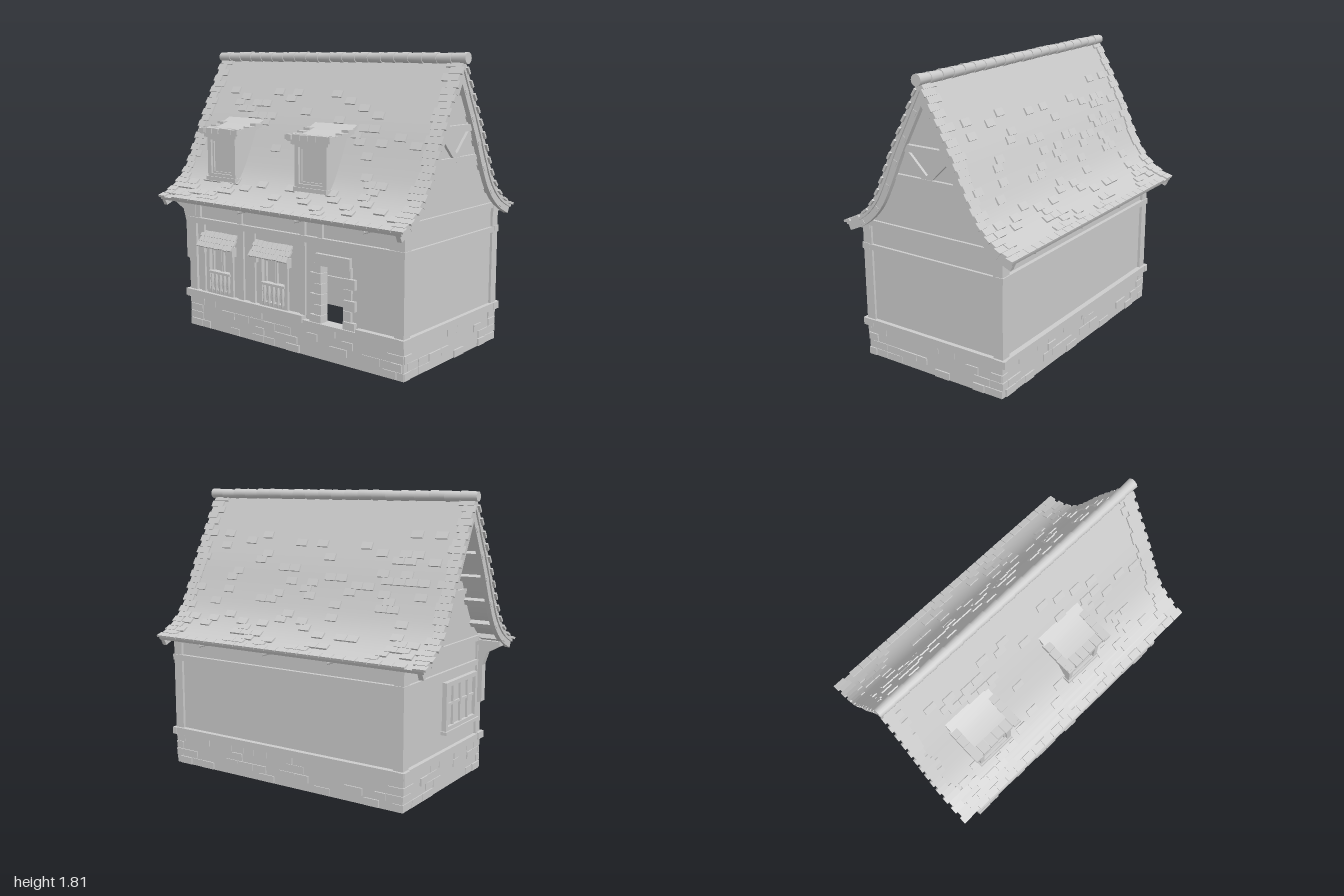
import * as THREE from 'three';
import { mergeGeometries, toCreasedNormals } from 'three/addons/utils/BufferGeometryUtils.js';

const grey = new THREE.MeshStandardMaterial({ color: 0xcccccc });
grey.name = 'plain grey';

let seed = 7;
const rnd = () => (seed = (seed * 16807) % 2147483647) / 2147483647;
const V2 = (x, y) => new THREE.Vector2(x, y);

// Roof slope from ridge to eave, as (z, y)
const slope = new THREE.SplineCurve([
  V2(0, 1.76), V2(0.1, 1.57), V2(0.21, 1.36), V2(0.29, 1.185), V2(0.36, 1.05),
  V2(0.43, 0.965), V2(0.51, 0.905), V2(0.605, 0.862)]);

// Slope moved inwards by d, kept on the +z side
function inset(d, n = 28) {
  const pts = [V2(0, 1.76 - d * 2.15)];
  for (let i = 1; i <= n; i++) {
    const p = slope.getPointAt(i / n), t = slope.getTangentAt(i / n);
    p.x += t.y * d; p.y -= t.x * d;
    if (p.x > 0.005) pts.push(p);
  }
  return pts;
}
const flip = pts => pts.map(p => V2(-p.x, p.y)).reverse();
const bothSlopes = d => [...flip(inset(d)), ...inset(d).slice(1)];

// Extrude a (z, y) outline along x
function alongX(pts, x0, x1) {
  const g = new THREE.ExtrudeGeometry(new THREE.Shape(pts), { depth: x1 - x0, bevelEnabled: false });
  g.rotateY(-Math.PI / 2).translate(x1, 0, 0);
  return toCreasedNormals(g, 0.5);
}
function boxGeo(x0, x1, y0, y1, z0, z1) {
  return new THREE.BoxGeometry(x1 - x0, y1 - y0, z1 - z0)
    .translate((x0 + x1) / 2, (y0 + y1) / 2, (z0 + z1) / 2);
}
function add(parent, name, geo) {
  const m = new THREE.Mesh(geo, grey);
  m.name = name;
  parent.add(m);
  return m;
}
const box = (parent, name, ...b) => add(parent, name, boxGeo(...b));
function group(parent, name) {
  const g = new THREE.Group();
  g.name = name;
  parent.add(g);
  return g;
}

// Stone base: four walls with some blocks standing proud
function stoneBase(root) {
  const g = group(root, 'stoneBase');
  const X0 = -0.8, X1 = 0.92, Z = 0.5;
  for (const s of [-1, 1]) box(g, 'baseWall', X0, X1, 0, 0.21, s > 0 ? Z - 0.06 : -Z, s > 0 ? Z : -Z + 0.06);
  box(g, 'baseEnd', X0, X0 + 0.06, 0, 0.21, -Z + 0.06, Z - 0.06);
  box(g, 'baseEnd', X1 - 0.06, X1, 0, 0.21, -Z + 0.06, Z - 0.06);
  const stones = [];
  for (let r = 0; r < 4; r++) {
    const y0 = r * 0.05 + 0.003, y1 = y0 + 0.045;
    const run = (a, b, put) => {
      for (let p = a; p < b - 0.03;) {
        const w = Math.min(0.07 + rnd() * 0.06, b - p);
        if (rnd() < 0.4 || p === a || p + w >= b - 0.03) put(p, p + w, 0.004 + rnd() * 0.007);
        p += w + 0.004;
      }
    };
    for (const s of [-1, 1]) run(X0 - 0.006, X1 + 0.006, (a, b, d) => stones.push(boxGeo(a, b, y0, y1, s > 0 ? Z - 0.02 : -Z - d, s > 0 ? Z + d : -Z + 0.02)));
    run(-Z, Z, (a, b, d) => stones.push(boxGeo(X1 - 0.02, X1 + d, y0, y1, a, b)));
    run(-Z, Z, (a, b, d) => stones.push(boxGeo(X0 - d, X0 + 0.02, y0, y1, a, b)));
  }
  add(g, 'baseStones', mergeGeometries(stones));
}

function walls(root) {
  const g = group(root, 'walls');
  // Front wall with window and door openings
  const s = new THREE.Shape([V2(-0.79, 0.2), V2(0.91, 0.2), V2(0.91, 0.88), V2(-0.79, 0.88)]);
  for (const [a, b, c, d] of [[-0.63, -0.42, 0.26, 0.56], [-0.165, 0.055, 0.26, 0.56], [0.33, 0.505, 0.215, 0.575]])
    s.holes.push(new THREE.Path([V2(a, c), V2(a, d), V2(b, d), V2(b, c)]));
  add(g, 'frontWall', new THREE.ExtrudeGeometry(s, { depth: 0.03, bevelEnabled: false }).translate(0, 0, 0.46));
  box(g, 'backWall', -0.79, 0.91, 0.2, 0.88, -0.49, -0.46);
  // Gable ends follow the roof
  const side = inset(0.025).filter(p => p.x < 0.47);
  const gable = [V2(-0.49, 0.2), V2(-0.49, 0.88), ...flip(side), ...side.slice(1), V2(0.49, 0.88), V2(0.49, 0.2)];
  add(g, 'rightGable', alongX(gable, 0.88, 0.91));
  add(g, 'leftGable', alongX(gable, -0.79, -0.76));
}

function timber(root) {
  const g = group(root, 'timberFrame');
  for (const sz of [-1, 1]) {
    const zs = (a, b) => sz > 0 ? [a, b] : [-b, -a];
    for (const [a, b] of [[-0.805, -0.74], [0.86, 0.925]]) box(g, 'cornerPost', a, b, 0.24, 0.86, ...zs(0.445, 0.508));
    box(g, 'middleBeam', -0.81, 0.93, 0.7, 0.738, ...zs(0.46, 0.515));
    box(g, 'topBeam', -0.81, 0.93, 0.83, 0.87, ...zs(0.45, 0.525));
    for (const x of [-0.31, 0.16, 0.67]) {
      const j = add(g, 'joistEnd', new THREE.CylinderGeometry(0.026, 0.026, 0.14, 8).rotateX(Math.PI / 2));
      j.position.set(x, 0.83, sz * 0.5);
      j.scale.y = 0.7;
    }
  }
  box(g, 'backSill', -0.825, 0.94, 0.2, 0.245, -0.525, -0.46);
  box(g, 'frontSill', -0.825, 0.2, 0.205, 0.25, 0.45, 0.53);
  box(g, 'frontSill', 0.6, 0.94, 0.2, 0.245, 0.45, 0.525);
  for (const [a, b] of [[-0.7, -0.665], [-0.36, -0.31], [-0.25, -0.21], [0.165, 0.205]]) box(g, 'frontPost', a, b, 0.25, 0.7, 0.47, 0.505);
  for (const x of [-0.74, -0.36, 0.165, 0.3, 0.82]) box(g, 'shortPost', x, x + 0.04, 0.738, 0.83, 0.47, 0.505);

  // End frames, the same at both gables
  for (const [x, out] of [[0.905, 1], [-0.785, -1]]) {
    const e = group(g, 'gableFrame');
    const rail = (name, y0, y1, z, d = 0.018) => box(e, name, Math.min(x, x + out * d), Math.max(x, x + out * d), y0, y1, -z, z);
    rail('endSill', 0.2, 0.245, 0.53, 0.032);
    rail('endBeam', 0.7, 0.735, 0.51, 0.022);
    rail('endTopBeam', 0.855, 0.89, 0.46, 0.022);
    rail('tieBeam', 1.18, 1.21, 0.25, 0.026);
    rail('collarBeam', 1.355, 1.395, 0.17, 0.035);
    for (const s of [-1, 1]) {
      const b = add(e, 'gableBrace', new THREE.BoxGeometry(0.03, 0.24, 0.04));
      b.position.set(x + out * 0.008, 1.275, s * 0.075);
      b.rotation.x = s * 0.8;
    }
  }
  // Curved knee brace under the deep overhang
  const knee = [V2(-0.8, 0.45), V2(-0.835, 0.46), V2(-0.835, 0.7), V2(-0.86, 0.78), V2(-0.95, 0.83), V2(-0.95, 0.86), V2(-0.8, 0.86)];
  add(g, 'kneeBrace', new THREE.ExtrudeGeometry(new THREE.Shape(knee), { depth: 0.05, bevelEnabled: false }).translate(0, 0, 0.455));
}

// Four bars around an opening in the xy plane
function frame(g, x0, x1, y0, y1, w, z0, z1) {
  box(g, 'frameSide', x0, x0 + w, y0, y1, z0, z1);
  box(g, 'frameSide', x1 - w, x1, y0, y1, z0, z1);
  box(g, 'frameTop', x0 + w, x1 - w, y1 - w, y1, z0, z1);
  box(g, 'frameBottom', x0 + w, x1 - w, y0, y0 + w, z0, z1);
}

function frontWindow(root, cx) {
  const g = group(root, 'frontWindow');
  box(g, 'pane', -0.115, 0.115, 0.25, 0.57, 0.462, 0.47);
  frame(g, -0.12, 0.12, 0.25, 0.575, 0.025, 0.46, 0.505);
  for (const s of [-1, 1]) frame(g, s > 0 ? 0.002 : -0.09, s > 0 ? 0.09 : -0.002, 0.385, 0.545, 0.014, 0.468, 0.485);
  box(g, 'balconyRail', -0.1, 0.1, 0.385, 0.4, 0.485, 0.515);
  const baluster = [V2(0.006, 0.25), V2(0.012, 0.28), V2(0.007, 0.31), V2(0.013, 0.345), V2(0.006, 0.385)];
  for (let i = -2; i <= 2; i++) add(g, 'baluster', new THREE.LatheGeometry(baluster, 8)).position.set(i * 0.038, 0, 0.5);
  // Small tiled awning
  for (let r = 0; r < 3; r++) for (let i = 0; i < 8; i++) {
    const t = add(g, 'awningTile', new THREE.BoxGeometry(0.037, 0.012, 0.042));
    t.position.set((i - 3.5) * 0.04 + (r % 2 ? 0.004 : -0.004), 0.64 - r * 0.029 - rnd() * 0.004, 0.502 + r * 0.02);
    t.rotation.x = 0.9;
  }
  for (const s of [-1, 1]) box(g, 'awningBracket', s * 0.13 - 0.01, s * 0.13 + 0.01, 0.52, 0.58, 0.48, 0.53);
  g.position.x = cx;
}

function sideWindow(root) {
  const g = group(root, 'sideWindow');
  box(g, 'pane', -0.2, 0.2, 0.37, 0.65, 0, 0.008);
  frame(g, -0.215, 0.215, 0.36, 0.665, 0.028, 0, 0.03);
  for (const x of [-0.1, 0, 0.1]) box(g, 'mullion', x - 0.01, x + 0.01, 0.38, 0.65, 0, 0.022);
  box(g, 'transom', -0.2, 0.2, 0.515, 0.53, 0, 0.02);
  box(g, 'windowSill', -0.23, 0.23, 0.345, 0.365, 0, 0.04);
  g.rotation.y = -Math.PI / 2;
  g.position.set(-0.79, 0, 0.205);
}

function doorway(root) {
  const g = group(root, 'doorway');
  // Alternating long and short jamb stones
  for (let i = 0; i < 6; i++) {
    const y = 0.21 + i * 0.064, w = i % 2 ? 0.05 : 0.08;
    box(g, 'jambStone', 0.33 - w, 0.335, y, y + 0.06, 0.45, 0.508 + rnd() * 0.008);
    box(g, 'jambStone', 0.5, 0.505 + w, y, y + 0.06, 0.45, 0.508 + rnd() * 0.008);
  }
  box(g, 'lintel', 0.29, 0.55, 0.575, 0.645, 0.45, 0.515);
  box(g, 'doorstep', 0.2, 0.6, 0.2, 0.225, 0.44, 0.525);
}

function dormer(root, cx) {
  const g = group(root, 'dormer');
  box(g, 'dormerBody', -0.115, 0.115, 1.0, 1.31, 0.18, 0.415);
  frame(g, -0.125, 0.125, 1.0, 1.28, 0.03, 0.405, 0.44);
  frame(g, -0.095, 0.095, 1.03, 1.25, 0.012, 0.41, 0.425);
  box(g, 'dormerSill', -0.13, 0.13, 0.985, 1.01, 0.39, 0.45);
  box(g, 'dormerHeader', -0.145, 0.145, 1.265, 1.3, 0.39, 0.45);
  const top = new THREE.SplineCurve([V2(0.46, 1.315), V2(0.38, 1.322), V2(0.28, 1.345), V2(0.19, 1.385)]).getPoints(10);
  add(g, 'dormerRoof', alongX([...top, ...top.map(p => V2(p.x, p.y - 0.03)).reverse()], -0.165, 0.165));
  for (let i = 0; i < 6; i++) {
    const w = 0.058, x = (i - 2.5) * w;
    box(g, 'dormerShingle', x - w / 2 + 0.002, x + w / 2 - 0.002, 1.29, 1.322 + rnd() * 0.006, 0.4, 0.458 + rnd() * 0.012);
  }
  for (let r = 0; r < 4; r++) for (const s of [-1, 1]) {
    const p = top[1 + r * 2];
    box(g, 'edgeShingle', s * 0.15 - 0.025, s * 0.15 + 0.025, p.y - 0.02, p.y + 0.007, p.x - 0.03, p.x + 0.03);
  }
  g.position.x = cx;
}

function roof(root) {
  const g = group(root, 'roof');
  add(g, 'roofShell', alongX([...bothSlopes(0), ...bothSlopes(0.02).reverse()], -0.975, 0.965));
  for (const x of [-0.965, 0.925]) add(g, 'bargeboard', alongX([...bothSlopes(0.018), ...bothSlopes(0.06).reverse()], x, x + 0.03));
  // Purlins run the full length and show under the overhangs
  for (const s of [-1, 1]) for (const t of [0.16, 0.32, 0.47, 0.62, 0.77, 0.9]) {
    const p = slope.getPointAt(t), d = slope.getTangentAt(t);
    const m = add(g, 'purlin', new THREE.BoxGeometry(1.925, 0.03, 0.035));
    m.position.set(-0.005, p.y - d.x * 0.036, s * (p.x + d.y * 0.036));
    m.rotation.x = s * Math.atan2(-d.y, d.x);
  }
  // Raised shingles: full rows at the verges and eaves, scattered between
  const rows = 26, tiles = [];
  for (const s of [-1, 1]) for (let r = 0; r < rows; r++) {
    const t = (r + 0.5) / rows, p = slope.getPointAt(t), d = slope.getTangentAt(t);
    const lay = (x0, x1) => tiles.push(new THREE.BoxGeometry(x1 - x0, 0.014, 0.046)
      .rotateX(s * (Math.atan2(-d.y, d.x) - 0.08))
      .translate((x0 + x1) / 2, p.y + d.x * 0.003, s * (p.x - d.y * 0.003)));
    const e = r % 2 ? 0.99 : 0.975;
    lay(-e, -e + 0.06 + rnd() * 0.05);
    lay(e - 0.08 - rnd() * 0.05, e - 0.01);
    for (let i = 0; i < 22; i++) {
      const x = -0.9 + i * 0.08 + (r % 2) * 0.04;
      const chance = r === rows - 1 ? 1 : r > rows - 7 ? 0.35 : r > 4 ? 0.14 : 0;
      if (rnd() < chance) lay(x, x + 0.076);
    }
  }
  add(g, 'shingles', mergeGeometries(tiles));
  // Overlapping round ridge tiles
  for (let i = 0; i < 20; i++) {
    const m = add(g, 'ridgeTile', new THREE.CylinderGeometry(0.034, 0.029, 0.104, 14).rotateZ(-Math.PI / 2));
    m.position.set(-0.938 + i * 0.0988, 1.773 + rnd() * 0.004, 0);
  }
}

export function createModel() {
  const root = new THREE.Group();
  root.name = 'timberedHouse';
  stoneBase(root);
  walls(root);
  timber(root);
  frontWindow(root, -0.525);
  frontWindow(root, -0.055);
  sideWindow(root);
  doorway(root);
  roof(root);
  dormer(root, -0.56);
  dormer(root, 0.195);
  return root;
}
